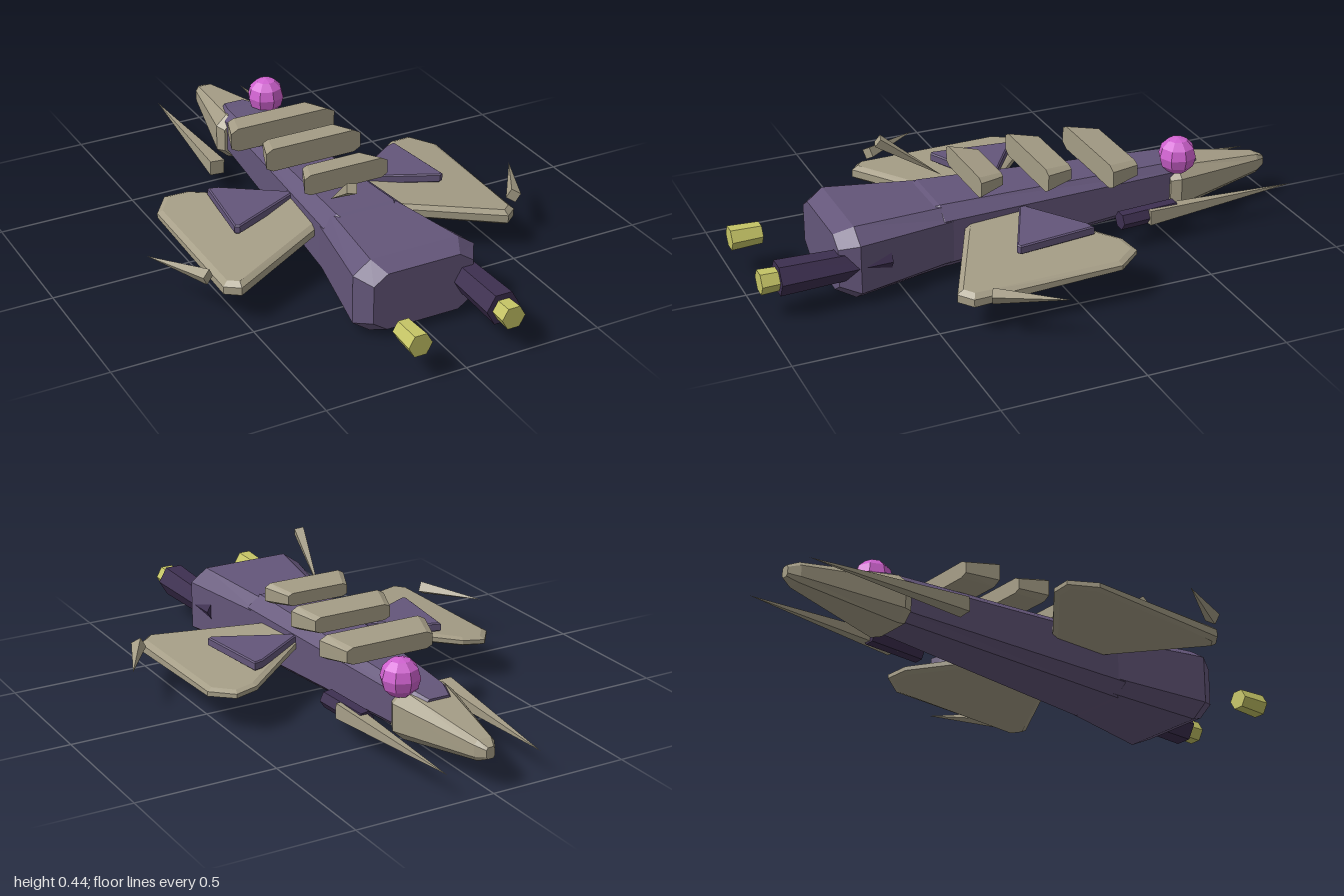
import * as THREE from 'three';

const mat = (name, color) => {
  const m = new THREE.MeshStandardMaterial({ color, flatShading: true });
  m.name = name;
  return m;
};

export function createModel() {
  const model = new THREE.Group();
  model.name = 'spaceship';
  const purple = mat('hull purple', 0x64567a);
  const dark = mat('dark violet', 0x3d2f50);
  const bone = mat('bone plating', 0xa59d86);
  const yellow = mat('nozzle yellow', 0xc6c566);
  const pink = mat('orb pink', 0xd062d0);

  const add = (name, geometry, material) => {
    const mesh = new THREE.Mesh(geometry, material);
    mesh.name = name;
    model.add(mesh);
    return mesh;
  };

  // Chamfered box lofted along z; sections run from +z to -z as [z, halfWidth, bottom, top]
  const loft = (sections, fx = 0.28, fy = 0.17) => {
    const pos = [];
    const rings = sections.map(([z, w, b, t]) => {
      const cx = w * fx, cy = (t - b) * fy;
      return [[w, b + cy], [w, t - cy], [w - cx, t], [cx - w, t], [-w, t - cy], [-w, b + cy], [cx - w, b], [w - cx, b]]
        .map(([x, y]) => [x, y, z]);
    });
    const tri = (...pts) => pts.forEach((p) => pos.push(...p));
    for (let i = 0; i + 1 < rings.length; i++) {
      for (let j = 0; j < 8; j++) {
        const k = (j + 1) % 8, p = rings[i], q = rings[i + 1];
        tri(p[j], q[j], p[k]);
        tri(p[k], q[j], q[k]);
      }
    }
    const first = rings[0], last = rings[rings.length - 1];
    for (let j = 1; j < 7; j++) {
      tri(first[0], first[j], first[j + 1]);
      tri(last[0], last[j + 1], last[j]);
    }
    const g = new THREE.BufferGeometry();
    g.setAttribute('position', new THREE.Float32BufferAttribute(pos, 3));
    g.computeVertexNormals();
    return g;
  };

  // Flat bevelled plate from an outline of [x, z] points, lying in the ground plane
  const plate = (points, side, thickness, bevel) => {
    const shape = new THREE.Shape(points.map(([x, z]) => new THREE.Vector2(x * side, -z)));
    const g = new THREE.ExtrudeGeometry(shape, {
      depth: thickness - 2 * bevel, bevelEnabled: true, bevelThickness: bevel,
      bevelSize: bevel * 1.3, bevelOffset: -bevel * 1.3, bevelSegments: 1,
    });
    g.translate(0, 0, bevel - thickness / 2);
    g.rotateX(-Math.PI / 2);
    return g;
  };

  // Rod or spike between two points
  const rod = (from, to, r0, r1, sides, turn) => {
    const a = new THREE.Vector3(...from), b = new THREE.Vector3(...to);
    const dir = b.clone().sub(a);
    const g = new THREE.CylinderGeometry(r1, r0, dir.length(), sides);
    g.rotateY(turn);
    g.applyQuaternion(new THREE.Quaternion().setFromUnitVectors(new THREE.Vector3(0, 1, 0), dir.normalize()));
    const mid = a.add(b).multiplyScalar(0.5);
    return g.translate(mid.x, mid.y, mid.z);
  };
  const spike = (name, base, tip, r) => add(name, rod(base, tip, r, 0, 4, Math.PI / 4), bone);

  // Hull and nose
  add('rearHull', loft([
    [0.73, 0.185, 0.03, 0.237], [0.665, 0.226, 0, 0.266], [0.27, 0.15, 0.025, 0.245], [0.22, 0.125, 0.045, 0.22],
  ]), purple);
  add('frontHull', loft([
    [0.4, 0.12, 0.03, 0.235], [0.34, 0.16, 0.015, 0.255], [-0.61, 0.085, 0.06, 0.22], [-0.68, 0.055, 0.08, 0.208],
  ], 0.32), purple);
  add('nose', loft([
    [-0.55, 0.1, 0.05, 0.2], [-0.585, 0.117, 0.04, 0.212], [-0.94, 0.038, 0.094, 0.166], [-0.977, 0.016, 0.11, 0.15],
  ], 0.35, 0.22), bone);

  // Three dorsal armour slabs
  [
    [0.207, 0.11, 0.16, 0.118, 0.27, 0.345],
    [-0.03, -0.133, 0.185, 0.148, 0.255, 0.34],
    [-0.265, -0.378, 0.207, 0.167, 0.23, 0.318],
  ].forEach(([z0, z1, w0, w1, b, t], i) =>
    add('armourSlab' + (i + 1), loft([[z0, w0, b, t], [z1, w1, b + 0.013, t - 0.015]], 0.14, 0.17), bone));

  const wingOutline = [[0.09, 0.06], [0.15, 0.015], [0.41, -0.2], [0.493, -0.215], [0.558, -0.13],
    [0.558, 0.4], [0.51, 0.44], [0.15, 0.265], [0.09, 0.23]];
  const finOutline = [[0.1, 0.03], [0.14, 0.03], [0.335, -0.105], [0.372, -0.115], [0.405, 0.17], [0.39, 0.178], [0.14, 0.06], [0.1, 0.06]];
  for (const side of [1, -1]) {
    const tag = side > 0 ? 'left' : 'right';

    // Drooping wing, thinner toward its leading edge
    const wing = plate(wingOutline, side, 0.056, 0.014);
    const p = wing.attributes.position;
    for (let i = 0; i < p.count; i++) {
      const x = Math.abs(p.getX(i)), z = p.getZ(i);
      const thick = THREE.MathUtils.mapLinear(z, -0.2, 0.44, 0.55, 1);
      p.setY(i, p.getY(i) * thick + 0.158 - 0.09 * (x - 0.225) - 0.03 * (z - 0.1));
    }
    wing.computeVertexNormals();
    add(tag + 'Wing', wing, bone);

    add(tag + 'Fin', plate(finOutline, side, 0.032, 0.004).translate(0, 0.188, 0), purple);
    spike(tag + 'WingSpike', [side * 0.588, 0.152, 0.35], [side * 0.71, 0.15, 0.13], 0.027);
    spike(tag + 'NoseSpike', [side * 0.2, 0.105, -0.405], [side * 0.175, 0.105, -1], 0.038);
    add(tag + 'Nozzle', rod([side * 0.17, 0.135, 0.89], [side * 0.17, 0.135, 1], 0.038, 0.043, 6, Math.PI / 2), yellow);
  }

  // Parts found on one side only
  add('leftEngine', rod([0.17, 0.137, 0.55], [0.17, 0.137, 0.938], 0.05, 0.061, 6, Math.PI / 2), dark);
  add('leftGun', rod([0.18, 0.105, -0.52], [0.195, 0.105, -0.3], 0.033, 0.033, 6, Math.PI / 2), dark);
  spike('antenna', [-0.125, 0.42, 0.472], [-0.087, 0.266, 0.255], 0.024);
  add('orb', new THREE.SphereGeometry(0.069, 8, 6).translate(0.085, 0.26, -0.578), pink);

  return model;
}
